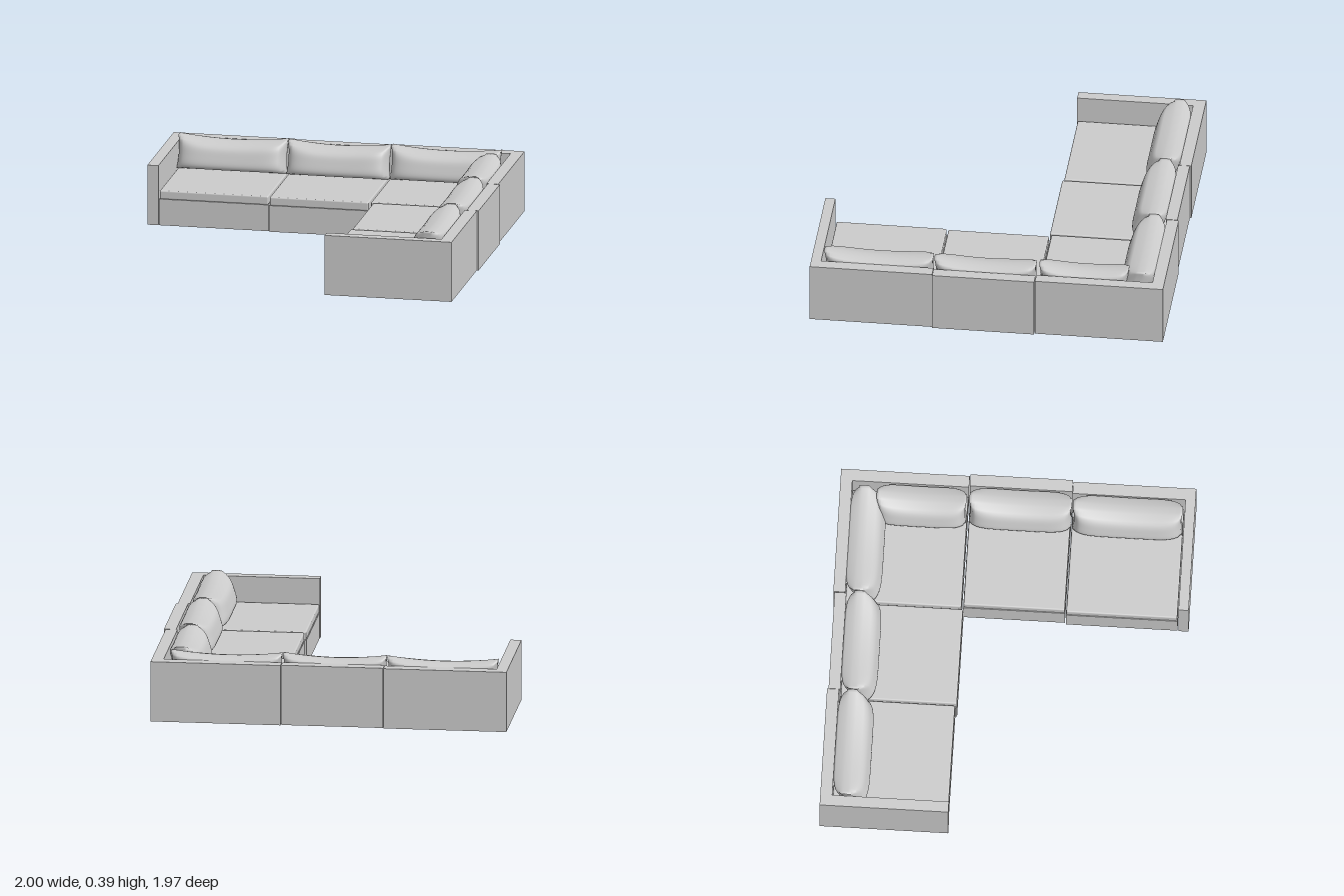
import * as THREE from 'three';
import { mergeVertices } from 'three/addons/utils/BufferGeometryUtils.js';
import { RoundedBoxGeometry } from 'three/addons/geometries/RoundedBoxGeometry.js';

const grey = new THREE.MeshStandardMaterial({ color: 0xcccccc });

// Block given by its extents; a radius rounds its edges
function block(parent, name, [x0, x1], [y0, y1], [z0, z1], radius = 0) {
  const size = [x1 - x0, y1 - y0, z1 - z0];
  const geo = radius ? new RoundedBoxGeometry(...size, 3, radius) : new THREE.BoxGeometry(...size);
  const mesh = new THREE.Mesh(geo, grey);
  mesh.name = name;
  mesh.position.set((x0 + x1) / 2, (y0 + y1) / 2, (z0 + z1) / 2);
  parent.add(mesh);
}

// Soft back pillow: a box puffed in the middle, sagging on top, leaning back
function pillowGeometry(length) {
  let geo = new THREE.BoxGeometry(2, 2, 2, 36, 16, 4);
  geo.deleteAttribute('uv');
  geo.deleteAttribute('normal');
  const p = geo.attributes.position;
  for (let i = 0; i < p.count; i++) {
    const u = p.getX(i), v = p.getY(i), w = p.getZ(i);
    const puff = Math.sqrt((1 - u ** 6) * (1 - v ** 4));
    const edge = Math.sqrt(1 - 0.5 * w * w);
    const depth = 0.028 + 0.062 * puff;
    const pinch = 1 - 0.025 * (1 - v * v);
    const height = 0.158 + 0.022 * u * u;
    p.setXYZ(i,
      u * length / 2 * pinch * (0.98 + 0.02 * edge),
      (v + 1) / 2 * height - 0.008 * v * (1 - edge),
      w * depth - 0.026 * v);
  }
  geo = mergeVertices(geo, 1e-5);
  geo.computeVertexNormals();
  return geo;
}

function pillow(parent, length, x, z, turn = 0) {
  const mesh = new THREE.Mesh(pillowGeometry(length), grey);
  mesh.name = 'backPillow';
  mesh.position.set(x, 0.205, z);
  mesh.rotation.y = turn;
  parent.add(mesh);
}

export function createModel() {
  const sofa = new THREE.Group();
  sofa.name = 'cornerSofa';
  const low = 0.008, top = 0.35, seatLow = 0.163, seatTop = 0.206;

  // One module: base, seat cushion, underside panel and its upright walls
  function section(name, x, z, walls) {
    const g = new THREE.Group();
    g.name = name;
    block(g, 'base', x, [low, 0.158], z);
    block(g, 'seatCushion', [x[0] + 0.002, x[1] - 0.002], [seatLow - 0.006, seatTop], [z[0] + 0.002, z[1] - 0.002], 0.008);
    block(g, 'undersidePanel', [x[0] + 0.03, x[1] - 0.03], [0, 0.012], [z[0] + 0.03, z[1] - 0.03]);
    for (const [wallName, wx, wz] of walls) block(g, wallName, wx, [low, top], wz);
    sofa.add(g);
    return g;
  }

  // Back row
  const leftEnd = section('endSection', [-0.932, -0.313], [-0.922, -0.276], [
    ['backrest', [-0.998, -0.311], [-0.988, -0.922]],
    ['armrest', [-0.998, -0.936], [-0.922, -0.274]],
  ]);
  pillow(leftEnd, 0.62, -0.628, -0.822);

  const middle = section('middleSection', [-0.307, 0.257], [-0.915, -0.266], [
    ['backrest', [-0.309, 0.259], [-0.98, -0.915]],
  ]);
  pillow(middle, 0.58, -0.025, -0.815);

  // Corner
  const corner = section('cornerSection', [0.265, 0.922], [-0.922, -0.276], [
    ['backrest', [0.263, 0.988], [-0.988, -0.922]],
    ['sideBackrest', [0.922, 0.988], [-0.922, -0.274]],
  ]);
  pillow(corner, 0.62, 0.577, -0.826);
  pillow(corner, 0.5, 0.815, -0.532, -Math.PI / 2);

  // Side row coming forward
  const sideMiddle = section('sideMiddleSection', [0.28, 0.93], [-0.268, 0.297], [
    ['backrest', [0.93, 0.998], [-0.27, 0.299]],
  ]);
  pillow(sideMiddle, 0.57, 0.825, 0.018, -Math.PI / 2);

  const sideEnd = section('sideEndSection', [0.271, 0.92], [0.303, 0.922], [
    ['backrest', [0.92, 0.988], [0.301, 0.922]],
    ['armrest', [0.269, 0.988], [0.928, 0.984]],
  ]);
  pillow(sideEnd, 0.61, 0.817, 0.613, -Math.PI / 2);
  block(sideEnd, 'cornerPost', [0.92, 0.988], [low, top], [0.922, 0.928]);

  return sofa;
}
